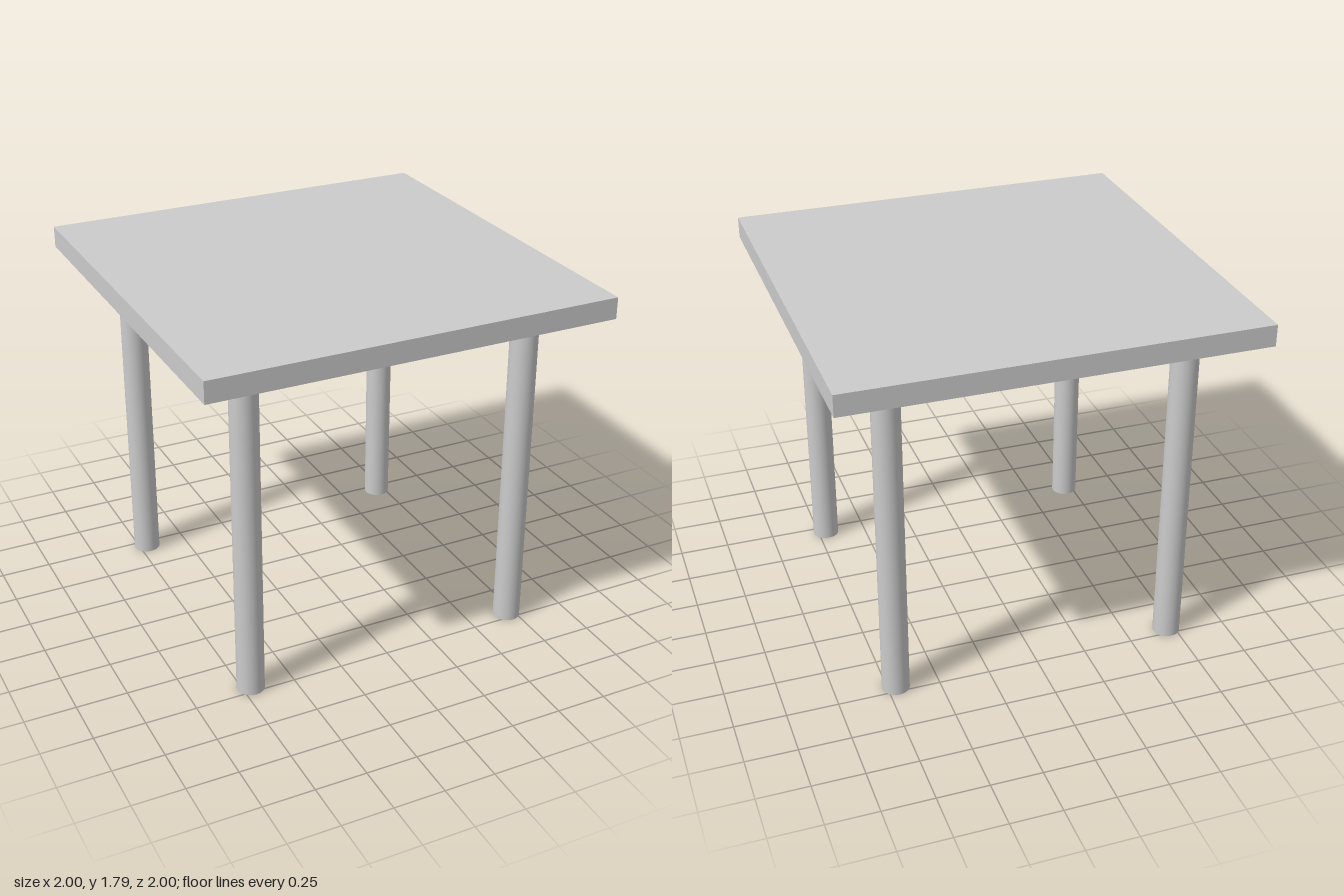
import * as THREE from 'three';

const TOP_Y = 1.787;       // upper face of the table top
const TOP_THICKNESS = 0.105;
const LEG_RADIUS = 0.067;
const LEG_OFFSET = 0.708;  // leg axis distance from the centre

export function createModel() {
  const table = new THREE.Group();
  table.name = 'table';
  const material = new THREE.MeshStandardMaterial({ color: 0xcccccc });

  // Square slab
  const top = new THREE.Mesh(new THREE.BoxGeometry(2, TOP_THICKNESS, 2), material);
  top.name = 'tableTop';
  top.position.y = TOP_Y - TOP_THICKNESS / 2;
  table.add(top);

  // Four round legs, one near each corner
  const legHeight = TOP_Y - TOP_THICKNESS;
  const legGeometry = new THREE.CylinderGeometry(LEG_RADIUS, LEG_RADIUS, legHeight, 48);
  for (const [end, z] of [['front', 1], ['back', -1]]) {
    for (const [side, x] of [['Left', 1], ['Right', -1]]) {
      const leg = new THREE.Mesh(legGeometry, material);
      leg.name = `${end}${side}Leg`;
      leg.position.set(x * LEG_OFFSET, legHeight / 2, z * LEG_OFFSET);
      table.add(leg);
    }
  }
  return table;
}
